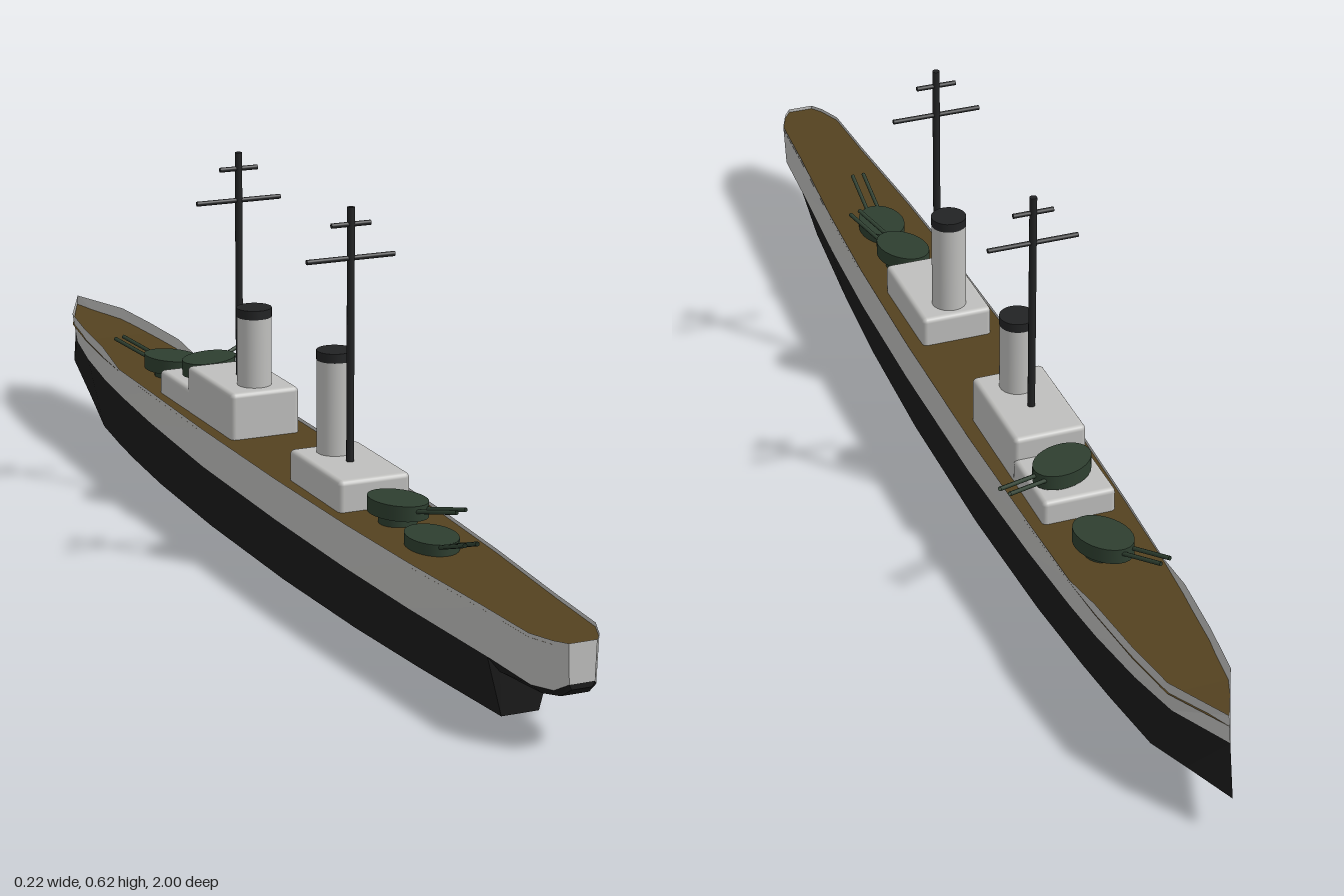
import * as THREE from 'three';
import { RoundedBoxGeometry } from 'three/addons/geometries/RoundedBoxGeometry.js';

const paint = (name, color) => new THREE.MeshStandardMaterial({ name, color, side: THREE.DoubleSide });

// Lofts flat-shaded strips across rows of points
function loft(rows) {
  const pos = [];
  for (let i = 0; i < rows.length - 1; i++) {
    for (let j = 0; j < rows[i].length - 1; j++) {
      const a = rows[i][j], b = rows[i][j + 1], c = rows[i + 1][j + 1], d = rows[i + 1][j];
      pos.push(...a, ...d, ...c, ...a, ...c, ...b);
    }
  }
  const g = new THREE.BufferGeometry();
  g.setAttribute('position', new THREE.Float32BufferAttribute(pos, 3));
  g.computeVertexNormals();
  return g;
}

// Stations, stern to bow: z, top half width, sheer y, waterline half width, waterline y, bottom half width, bottom y, deck y
const stations = [
  [1.0, 0, 0.168, 0, 0.108, 0, 0.1, 0.162],
  [1.0, 0.022, 0.168, 0.02, 0.108, 0.016, 0.1, 0.162],
  [0.98, 0.036, 0.168, 0.033, 0.095, 0.022, 0.085, 0.162],
  [0.94, 0.052, 0.168, 0.048, 0.092, 0.03, 0.077, 0.162],
  [0.825, 0.058, 0.168, 0.056, 0.095, 0.036, 0.07, 0.162],
  [0.82, 0.058, 0.168, 0.056, 0.095, 0.03, 0, 0.162],
  [0.6, 0.073, 0.168, 0.072, 0.097, 0.05, 0, 0.162],
  [0.4, 0.082, 0.168, 0.082, 0.099, 0.064, 0, 0.162],
  [0.15, 0.087, 0.168, 0.087, 0.101, 0.073, 0, 0.162],
  [-0.15, 0.087, 0.168, 0.087, 0.104, 0.073, 0, 0.162],
  [-0.4, 0.082, 0.168, 0.081, 0.111, 0.064, 0, 0.162],
  [-0.56, 0.077, 0.166, 0.075, 0.118, 0.052, 0, 0.162],
  [-0.65, 0.072, 0.182, 0.069, 0.122, 0.043, 0, 0.163],
  [-0.77, 0.062, 0.186, 0.057, 0.13, 0.028, 0, 0.166],
  [-0.87, 0.049, 0.19, 0.041, 0.138, 0.015, 0.028, 0.17],
  [-0.975, 0, 0.195, 0, 0.152, 0, 0.065, 0.178],
];

export function createModel() {
  const grey = paint('hull grey', 0xbfbfbd);
  const black = paint('lower hull black', 0x1b1b1b);
  const brown = paint('deck brown', 0x544220);
  const green = paint('turret green', 0x2e3f30);
  const dark = paint('rigging black', 0x222324);

  const model = new THREE.Group();
  model.name = 'warship';
  const ship = new THREE.Group();
  ship.name = 'ship';
  ship.position.x = -0.0205;
  model.add(ship);

  const add = (name, geo, mat, x = 0, y = 0, z = 0, parent = ship) => {
    const m = new THREE.Mesh(geo, mat);
    m.name = name;
    m.position.set(x, y, z);
    parent.add(m);
    return m;
  };

  // Hull: the stem rakes forward towards the ram
  const bow = stations.length - 1;
  const row = pts => stations.map((s, i) => pts(s).map(([x, y]) =>
    [x, y, s[0] - (i === bow ? (0.195 - y) * 0.19 : 0)]));
  add('lowerHull', loft(row(s => [[-s[3], s[4]], [-s[5], s[6]], [s[5], s[6]], [s[3], s[4]]])), black);
  add('leftHullSide', loft(row(s => [[s[3], s[4]], [s[1], s[2]]])), grey);
  add('rightHullSide', loft(row(s => [[-s[1], s[2]], [-s[3], s[4]]])), grey);
  add('deck', loft(row(s => [[s[1], s[7]], [-s[1], s[7]]])), brown);

  // Deckhouses: name, top y, front z, back z
  [['foreDeckhouse', 0.24, -0.285, -0.09],
   ['turretPlatform', 0.202, -0.41, -0.275],
   ['aftDeckhouse', 0.212, 0.14, 0.333]].forEach(([name, top, z0, z1]) => {
    const h = top - 0.15;
    add(name, new RoundedBoxGeometry(0.12, h, z1 - z0, 2, 0.008), grey, 0, 0.15 + h / 2, (z0 + z1) / 2);
  });

  // Funnels with dark caps
  [['fore', -0.137, 0.23, 0.37], ['aft', 0.182, 0.2, 0.377]].forEach(([name, z, y0, y1]) => {
    const h = y1 - 0.015 - y0;
    add(name + 'Funnel', new THREE.CylinderGeometry(0.0285, 0.0285, h, 28), grey, 0, y0 + h / 2, z);
    add(name + 'FunnelCap', new THREE.CylinderGeometry(0.029, 0.029, 0.015, 28), dark, 0, y1 - 0.0075, z);
  });

  // Masts with two yards each
  [['fore', -0.2, 0.23], ['aft', 0.24, 0.2]].forEach(([name, z, y0]) => {
    add(name + 'Mast', new THREE.CylinderGeometry(0.006, 0.006, 0.616 - y0, 12), dark, 0, (0.616 + y0) / 2, z);
    [[0.536, 0.148], [0.589, 0.066]].forEach(([y, len]) => {
      add(name + 'Yard', new THREE.CylinderGeometry(0.004, 0.004, len, 10), dark, 0, y, z).rotation.z = Math.PI / 2;
    });
  });

  // Oval twin-gun turrets: name, x, z, base y, top y, aim x, aim z, gun reach, muzzle y
  [['foreTurret', 0, -0.505, 0.172, 0.197, -0.05, -0.105, 0.125, 0.207],
   ['raisedForeTurret', 0.006, -0.348, 0.207, 0.232, 0.116, -0.06, 0.132, 0.239],
   ['raisedAftTurret', 0.004, 0.405, 0.176, 0.2, 0.042, 0.11, 0.13, 0.208],
   ['aftTurret', 0, 0.53, 0.162, 0.18, 0, 1, 0.13, 0.203],
  ].forEach(([name, x, z, y0, y1, ax, az, reach, tipY]) => {
    const turret = new THREE.Group();
    turret.name = name;
    turret.position.set(x, y0, z);
    turret.rotation.y = Math.atan2(ax, az);
    ship.add(turret);
    const h = y1 - y0;
    add('gunhouse', new THREE.CylinderGeometry(0.038, 0.038, h, 28), green, 0, h / 2, 0, turret).scale.z = 1.42;
    add('barbette', new THREE.CylinderGeometry(0.03, 0.03, 0.02, 24), green, 0, -0.005, 0, turret);
    // Barrels
    [-1, 1].forEach(side => {
      const path = new THREE.LineCurve3(
        new THREE.Vector3(side * 0.01, h * 0.5, 0.035),
        new THREE.Vector3(side * 0.01, tipY - y0, reach));
      add('gunBarrel', new THREE.TubeGeometry(path, 1, 0.0035, 8), green, 0, 0, 0, turret);
    });
  });

  return model;
}
